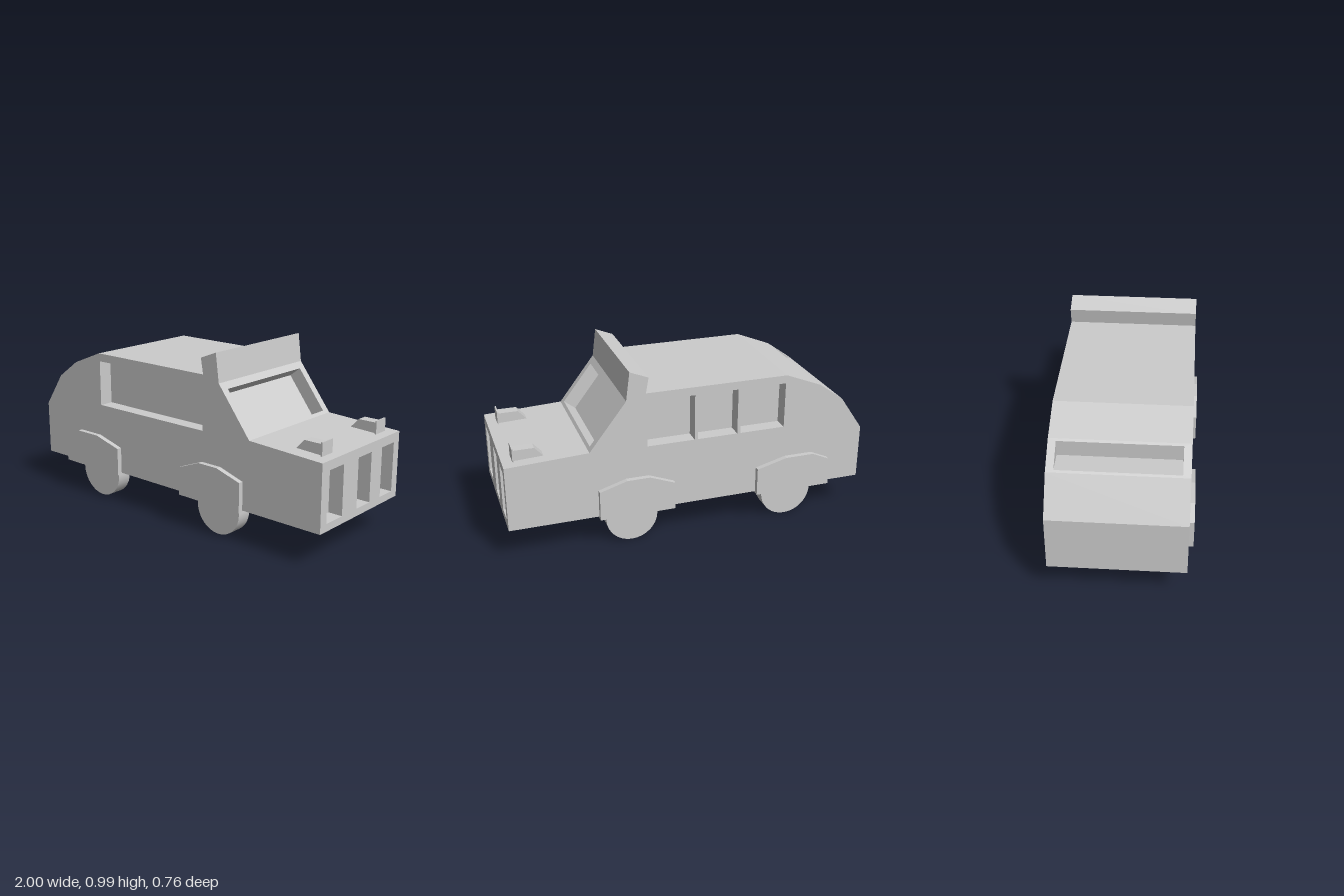
import * as THREE from 'three';

const grey = new THREE.MeshStandardMaterial({ color: 0xcccccc, flatShading: true });
const greyDouble = new THREE.MeshStandardMaterial({ color: 0xcccccc, flatShading: true, side: THREE.DoubleSide });
const smooth = new THREE.MeshStandardMaterial({ color: 0xcccccc });
const HALF = 0.35;   // half width of the body
const DEPTH = 0.08;  // depth of the recessed openings

// Side outline of the body, anticlockwise from the lower rear corner
const PROFILE = [
  [-1, 0.185], [1, 0.19], [1, 0.55], [0.56, 0.57], [0.36, 0.83], [0.34, 0.985],
  [0.24, 0.945], [0.255, 0.86], [-0.53, 0.86], [-0.73, 0.78], [-0.87, 0.68], [-1, 0.49],
];
const EDGE_NAMES = [
  'floor', 'grillePanel', 'hood', 'windshieldFrame', 'visorFront', 'visorTop',
  'visorBack', 'roof', 'rearRoof', 'rearWindowFrame', 'tail', 'rearPanel',
];

const toShape = (pts) => new THREE.Shape(pts.map(([x, y]) => new THREE.Vector2(x, y)));

function addMesh(parent, name, geometry, material = grey) {
  const mesh = new THREE.Mesh(geometry, material);
  mesh.name = name;
  parent.add(mesh);
  return mesh;
}

// Walls and floor of an opening; inner gives [slide, depth] for the u0 and u1 edges
function recessGeometry({ u0, u1, v0, v1, inner = [[0, DEPTH], [0, DEPTH]] }) {
  const [[s0, d0], [s1, d1]] = inner;
  const outer = [[u0, v0, 0], [u1, v0, 0], [u1, v1, 0], [u0, v1, 0]];
  const deep = [[u0 + s0, v0, -d0], [u1 + s1, v0, -d1], [u1 + s1, v1, -d1], [u0 + s0, v1, -d0]];
  const pos = [];
  const quad = (a, b, c, d) => pos.push(...a, ...b, ...c, ...a, ...c, ...d);
  quad(...deep);
  for (let i = 0; i < 4; i++) {
    const j = (i + 1) % 4;
    quad(outer[i], outer[j], deep[j], deep[i]);
  }
  const g = new THREE.BufferGeometry();
  g.setAttribute('position', new THREE.Float32BufferAttribute(pos, 3));
  g.computeVertexNormals();
  return g;
}

// Flat panel with recessed openings, placed by a matrix whose z axis points outward
function addPanel(parent, name, matrix, outline, openings = []) {
  const shape = toShape(outline);
  for (const o of openings) {
    shape.holes.push(toShape([[o.u0, o.v0], [o.u0, o.v1], [o.u1, o.v1], [o.u1, o.v0]]));
    addMesh(parent, name + 'Recess', recessGeometry(o).applyMatrix4(matrix), greyDouble);
  }
  addMesh(parent, name, new THREE.ShapeGeometry(shape).applyMatrix4(matrix));
}

function buildBody() {
  const body = new THREE.Group();
  body.name = 'body';

  // Openings in the panels that run across the car, u along the profile edge
  const openings = {
    grillePanel: [[-0.3, -0.185], [-0.085, 0.035], [0.165, 0.3]]
      .map(([v0, v1]) => ({ u0: 0.04, u1: 0.31, v0, v1 })),
    windshieldFrame: [{ u0: 0.02, u1: 0.288, v0: -0.308, v1: 0.308 }],
    rearWindowFrame: [{ u0: 0.014, u1: 0.159, v0: -0.31, v1: 0.31, inner: [[0.049, 0.069], [0, 0]] }],
  };
  const zAxis = new THREE.Vector3(0, 0, 1);
  PROFILE.forEach(([x, y], i) => {
    const [nx, ny] = PROFILE[(i + 1) % PROFILE.length];
    const dir = new THREE.Vector3(nx - x, ny - y, 0);
    const len = dir.length();
    dir.normalize();
    const m = new THREE.Matrix4()
      .makeBasis(dir, zAxis, dir.clone().cross(zAxis))
      .setPosition(x, y, 0);
    const outline = [[0, -HALF], [len, -HALF], [len, HALF], [0, HALF]];
    addPanel(body, EDGE_NAMES[i], m, outline, openings[EDGE_NAMES[i]]);
  });

  // Sides, each with one long window opening
  const front = new THREE.Matrix4().makeTranslation(0, 0, HALF);
  addPanel(body, 'rightSide', front, PROFILE, [{ u0: -0.525, u1: 0.25, v0: 0.56, v1: 0.815 }]);
  const back = new THREE.Matrix4().makeRotationY(Math.PI).setPosition(0, 0, -HALF);
  addPanel(body, 'leftSide', back, PROFILE.map(([x, y]) => [-x, y]),
    [{ u0: -0.25, u1: 0.525, v0: 0.56, v1: 0.815 }]);

  // Two posts split the window on one side only
  for (const x of [-0.02, -0.262]) {
    addMesh(body, 'windowPost', new THREE.BoxGeometry(0.018, 0.255, DEPTH))
      .position.set(x, 0.6875, -HALF + DEPTH / 2);
  }
  return body;
}

function extrude(points, depth) {
  return new THREE.ExtrudeGeometry(toShape(points), { depth, bevelEnabled: false });
}

export function createModel() {
  const car = new THREE.Group();
  car.name = 'car';
  car.add(buildBody());

  const rearFender = [[-0.805, 0.178], [-0.37, 0.178], [-0.37, 0.335], [-0.54, 0.38], [-0.7, 0.38], [-0.8, 0.335]];
  const frontFender = [[0.105, 0.18], [0.52, 0.18], [0.52, 0.345], [0.37, 0.39], [0.245, 0.39], [0.105, 0.335]];
  const lamp = [[0.78, 0.555], [0.94, 0.545], [0.94, 0.61], [0.83, 0.61]];

  for (const side of [1, -1]) {
    // Fenders
    for (const [name, pts] of [['rearFender', rearFender], ['frontFender', frontFender]]) {
      addMesh(car, name, extrude(pts, 0.04)).position.z = side * 0.358 - 0.02;
    }
    // Wheels, sunk into the floor
    for (const [name, x, r] of [['rearWheel', -0.57, 0.148], ['frontWheel', 0.333, 0.143]]) {
      const wheel = addMesh(car, name, new THREE.CylinderGeometry(r, r, 0.085, 32), smooth);
      wheel.rotation.x = Math.PI / 2;
      wheel.position.set(x, r, side * 0.28);
    }
    // Headlamps with a wider lens plate in front
    const z = side > 0 ? 0.232 : -0.252;
    addMesh(car, 'headlamp', extrude(lamp, 0.06)).position.z = z - 0.03;
    addMesh(car, 'lampLens', new THREE.BoxGeometry(0.008, 0.08, 0.088)).position.set(0.942, 0.584, z);
  }
  return car;
}
